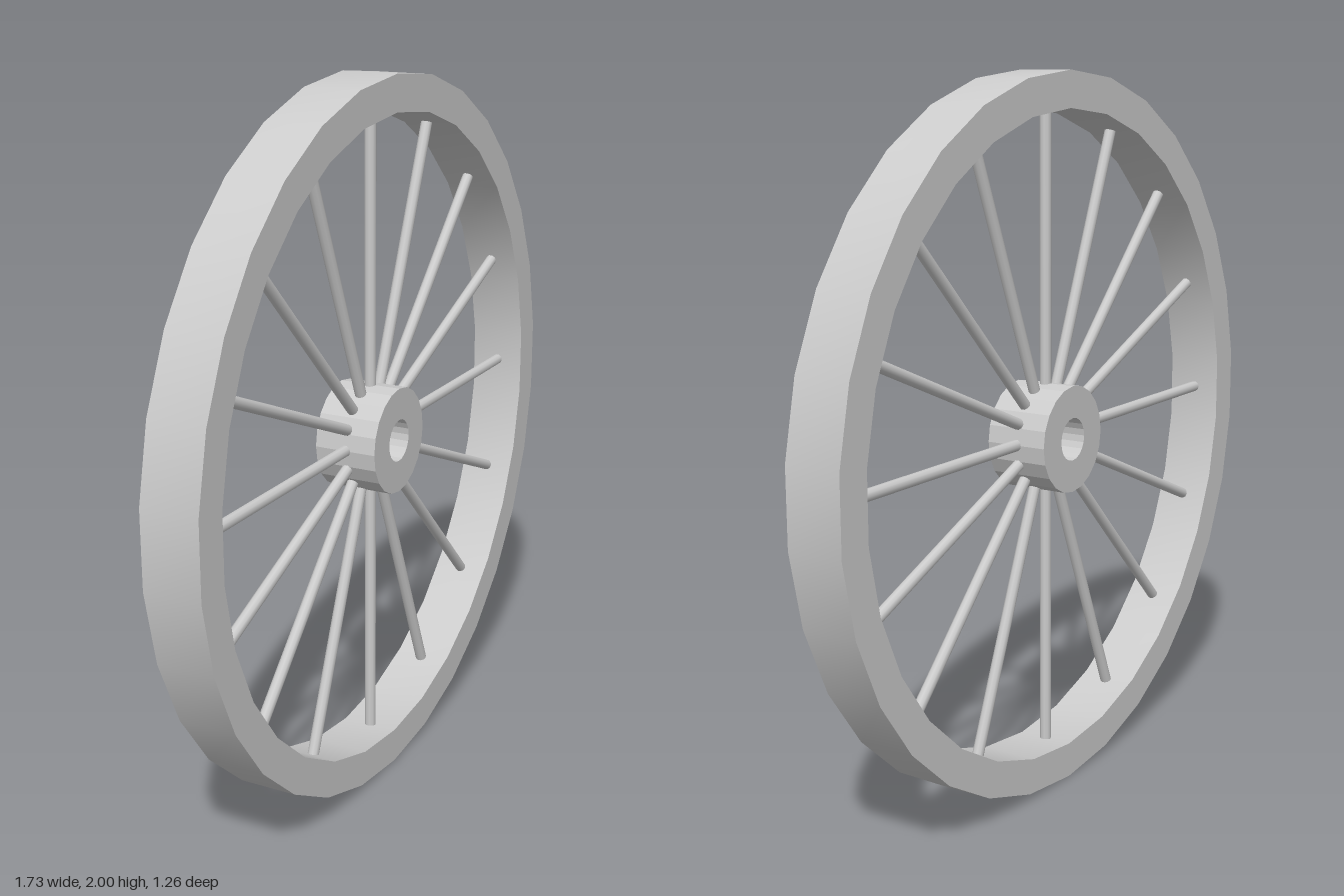
import * as THREE from 'three';
import { toCreasedNormals } from 'three/addons/utils/BufferGeometryUtils.js';

const material = new THREE.MeshStandardMaterial({ color: 0xcccccc });

// Ring of rectangular section around the z axis
function ring(name, inner, outer, halfWidth, segments, crease) {
  const profile = [
    [outer, -halfWidth], [outer, halfWidth], [inner, halfWidth],
    [inner, -halfWidth], [outer, -halfWidth],
  ].map(([r, h]) => new THREE.Vector2(r, h));
  const geometry = new THREE.LatheGeometry(profile, segments).rotateX(Math.PI / 2);
  const mesh = new THREE.Mesh(toCreasedNormals(geometry, crease), material);
  mesh.name = name;
  return mesh;
}

export function createModel() {
  const wheel = new THREE.Group();
  wheel.name = 'wheel';

  wheel.add(ring('rim', 0.9, 1, 0.081, 30, 0.5));
  wheel.add(ring('hub', 0.06, 0.15, 0.09, 20, 0.1));

  // Sixteen round spokes, their inner ends showing in the axle hole
  const spokeCount = 16, start = 0.045, end = 0.9;
  const spokeGeometry = new THREE.CylinderGeometry(0.016, 0.016, end - start, 10)
    .translate(0, (start + end) / 2, 0);
  for (let i = 0; i < spokeCount; i++) {
    const spoke = new THREE.Mesh(spokeGeometry, material);
    spoke.name = 'spoke';
    spoke.rotation.z = (i / spokeCount) * Math.PI * 2;
    wheel.add(spoke);
  }

  // Stand the wheel on the ground, turned about the vertical
  wheel.position.y = 1;
  wheel.rotation.y = 0.599;

  const model = new THREE.Group();
  model.name = 'spokedWheel';
  model.add(wheel);
  return model;
}
